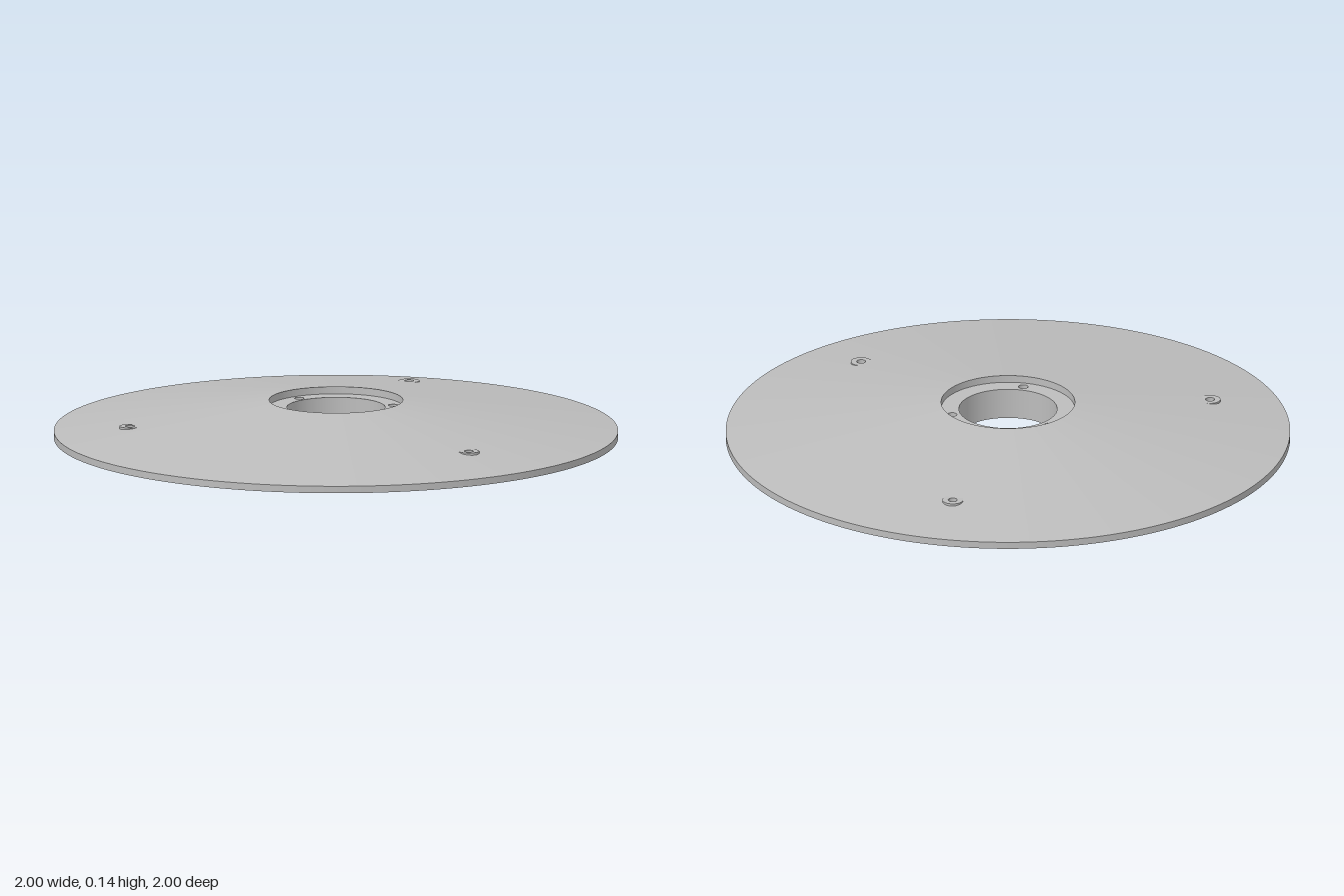
import * as THREE from 'three';

const TAU = Math.PI * 2;
const SEG = 192;                 // segments in a full turn
const HALF = (TAU / SEG) * 2;    // half angle of the drilled patch
const RIM = { r: 1, y: 0.025 }, CREST = { r: 0.237, y: 0.136 };
const BORE = 0.174, FLOOR = 0.11;
const MOUNT = 0.74, BOSS_TOP = 0.066, SLOT_TOP = 0.03, SCREW = 0.016;

const grey = new THREE.MeshStandardMaterial({ color: 0xbcbcbc, side: THREE.DoubleSide });
grey.name = 'grey';

const coneY = r => RIM.y + (CREST.y - RIM.y) * (RIM.r - r) / (RIM.r - CREST.r);

function add(parent, name, geometry) {
  const mesh = new THREE.Mesh(geometry, grey);
  mesh.name = name;
  parent.add(mesh);
  return mesh;
}

// One straight strip of a turned profile, keeping edges between strips sharp
function band(r0, y0, r1, y1, start = 0, length = TAU) {
  const pts = [new THREE.Vector2(r0, y0), new THREE.Vector2(r1, y1)];
  return new THREE.LatheGeometry(pts, Math.round(SEG * length / TAU), start, length);
}

function circle(r, x = 0, y = 0, Kind = THREE.Path) {
  return new Kind().absarc(x, y, r, 0, TAU, false);
}

function rect(l, w, x = 0, y = 0, Kind = THREE.Path) {
  return new Kind([[-1, -1], [1, -1], [1, 1], [-1, 1]]
    .map(([a, b]) => new THREE.Vector2(x + a * l / 2, y + b * w / 2)));
}

// Flat horizontal sheet from a shape, facing up or down
function sheet(shape, holes, y, up = true, curve = 12) {
  shape.holes.push(...holes);
  const g = new THREE.ShapeGeometry(shape, curve);
  g.rotateX(up ? -Math.PI / 2 : Math.PI / 2);
  return g.translate(0, y, 0);
}

function tube(r, y0, y1) {
  return new THREE.CylinderGeometry(r, r, y1 - y0, 32, 1, true).translate(0, (y0 + y1) / 2, 0);
}

// Small piece of the cone around a screw hole, raised by the cone rule
function drilledPatch(r0, r1) {
  const shape = new THREE.Shape();
  const angles = [-2, -1, 0, 1, 2].map(i => i * HALF / 2);
  shape.setFromPoints([
    ...angles.map(a => new THREE.Vector2(r1 * Math.cos(a), r1 * Math.sin(a))),
    ...angles.reverse().map(a => new THREE.Vector2(r0 * Math.cos(a), r0 * Math.sin(a))),
  ]);
  const g = sheet(shape, [circle(SCREW, MOUNT)], 0);
  const p = g.attributes.position, n = g.attributes.normal, v = new THREE.Vector3();
  const slope = (CREST.y - RIM.y) / (RIM.r - CREST.r);
  for (let i = 0; i < p.count; i++) {
    const x = p.getX(i), z = p.getZ(i), r = Math.hypot(x, z);
    p.setY(i, coneY(r));
    v.set(slope * x / r, 1, slope * z / r).normalize();
    n.setXYZ(i, v.x, v.y, v.z);
  }
  return g;
}

export function createModel() {
  const model = new THREE.Group();
  model.name = 'conicalDisc';
  const inner = MOUNT - 0.05, outer = MOUNT + 0.05;

  // Turned body
  add(model, 'rimEdge', band(RIM.r, 0, RIM.r, RIM.y));
  add(model, 'outerCone', band(RIM.r, RIM.y, outer, coneY(outer)));
  add(model, 'innerCone', band(inner, coneY(inner), CREST.r, CREST.y));
  add(model, 'recessWall', band(CREST.r, CREST.y, CREST.r, FLOOR));
  add(model, 'centreBore', band(BORE, FLOOR, BORE, 0));

  // Recess floor with three blind holes
  const spots = [1, 3, 5].map(k => [0.205 * Math.cos(k * TAU / 6), 0.205 * Math.sin(k * TAU / 6)]);
  add(model, 'recessFloor', sheet(circle(CREST.r, 0, 0, THREE.Shape),
    [circle(BORE), ...spots.map(([x, y]) => circle(0.017, x, y))], FLOOR, true, SEG / 2));
  for (const [x, z] of spots) {
    add(model, 'blindHoleWall', tube(0.017, 0.05, FLOOR)).position.set(x, 0, z);
    add(model, 'blindHoleEnd', sheet(circle(0.017, 0, 0, THREE.Shape), [], 0.05)).position.set(x, 0, z);
  }

  // Underside with three slots
  const slots = [0, 1, 2].map(k => {
    const c = new THREE.Vector2();
    const pts = rect(0.036, 0.085, MOUNT).getPoints().map(p => p.rotateAround(c, k * TAU / 3));
    return new THREE.Path(pts);
  });
  add(model, 'underside', sheet(circle(RIM.r, 0, 0, THREE.Shape), [circle(BORE), ...slots], 0, false, SEG / 2));

  // Three mounting points, each with its stretch of the middle cone
  for (let k = 0; k < 3; k++) {
    const sector = new THREE.Group();
    sector.name = 'mountSector';
    sector.rotation.y = k * TAU / 3;
    model.add(sector);
    add(sector, 'middleCone', band(outer, coneY(outer), inner, coneY(inner),
      TAU / 4 + HALF, TAU / 3 - 2 * HALF));
    add(sector, 'drilledCone', drilledPatch(inner, outer));

    const mount = new THREE.Group();
    mount.name = 'screwMount';
    mount.position.x = MOUNT;
    sector.add(mount);
    add(mount, 'bossWall', tube(0.037, 0.05, BOSS_TOP));
    add(mount, 'bossTop', sheet(circle(0.037, 0, 0, THREE.Shape), [circle(SCREW)], BOSS_TOP, true, 32));
    add(mount, 'screwHole', tube(SCREW, SLOT_TOP, BOSS_TOP));
    add(mount, 'slotRoof', sheet(rect(0.036, 0.085, 0, 0, THREE.Shape), [circle(SCREW)], SLOT_TOP, false));
    for (const s of [-1, 1]) {
      add(mount, 'slotSide', new THREE.PlaneGeometry(0.085, SLOT_TOP).rotateY(-s * Math.PI / 2))
        .position.set(s * 0.018, SLOT_TOP / 2, 0);
      add(mount, 'slotEnd', new THREE.PlaneGeometry(0.036, SLOT_TOP).rotateY(s > 0 ? Math.PI : 0))
        .position.set(0, SLOT_TOP / 2, s * 0.0425);
    }
  }
  return model;
}
